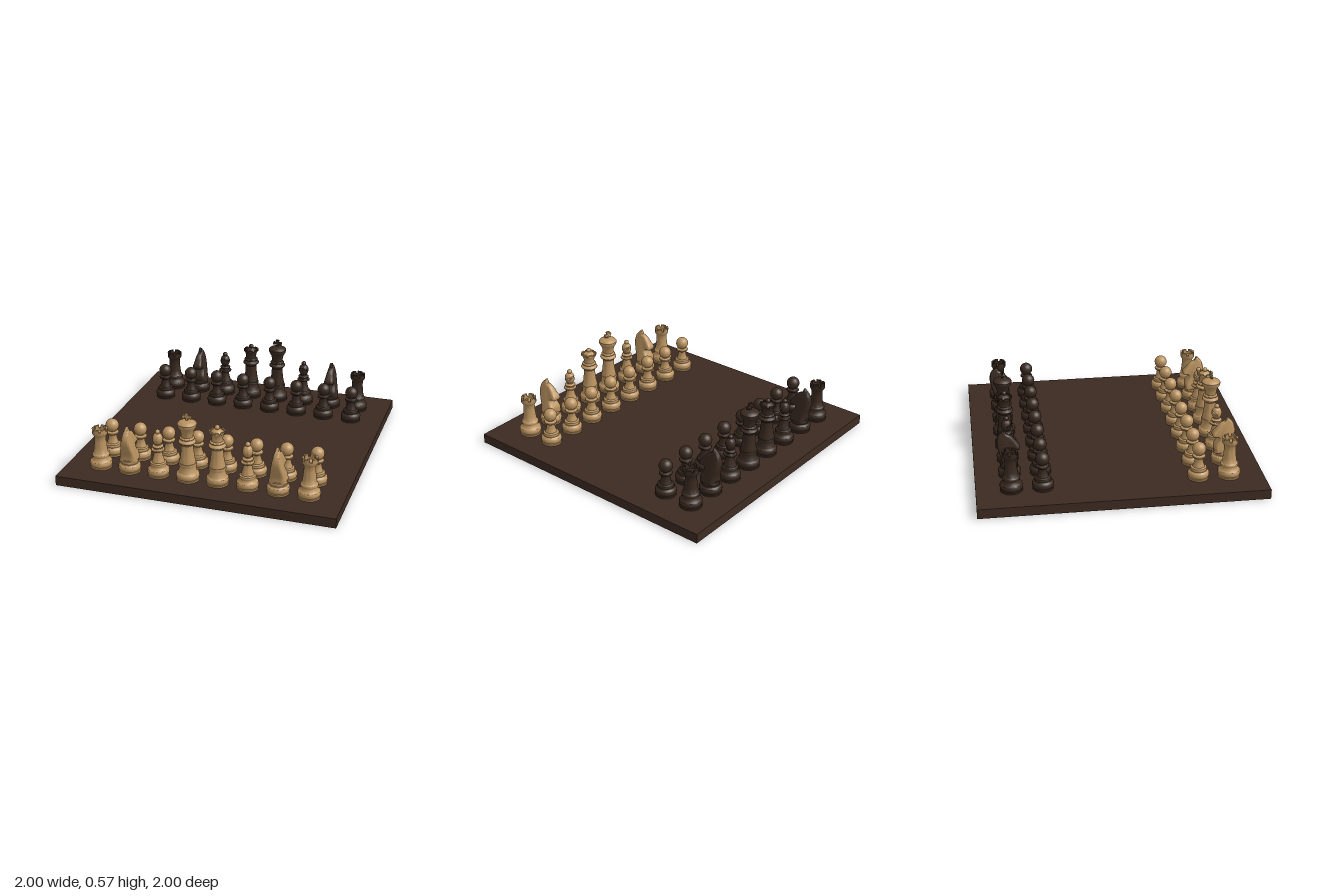
import * as THREE from 'three';
import { toCreasedNormals, mergeGeometries } from 'three/addons/utils/BufferGeometryUtils.js';

const boardMat = new THREE.MeshStandardMaterial({ color: 0x3d2b22 });
boardMat.name = 'dark board wood';
const lightMat = new THREE.MeshStandardMaterial({ color: 0xba9360 });
lightMat.name = 'light boxwood';
const darkMat = new THREE.MeshStandardMaterial({ color: 0x38291f });
darkMat.name = 'dark ebony';

const BOARD_TOP = 0.07;
const v2 = (x, y) => new THREE.Vector2(x, y);

// Half-round moulding between two heights
function bead(r, y0, y1, bulge) {
  const pts = [];
  for (let i = 0; i <= 6; i++) {
    const a = (i / 6 - 0.5) * Math.PI;
    pts.push([r + bulge * Math.cos(a), (y0 + y1) / 2 + ((y1 - y0) / 2) * Math.sin(a)]);
  }
  return pts;
}

// Round foot shared by all pieces
function foot(r, h) {
  return [
    [0, 0], [r * 0.97, 0], [r * 0.97, 0.012],
    ...bead(r * 0.87, 0.014, 0.055, r * 0.13),
    [r * 0.78, 0.064], [r * 0.7, h - 0.025],
    ...bead(r * 0.7, h - 0.022, h, 0.006),
  ];
}

function turned(points) {
  const geo = new THREE.LatheGeometry(points.map((p) => v2(Math.max(p[0], 0), p[1])), 32);
  return toCreasedNormals(geo, 0.6);
}

function ball(r, y, stretch = 1) {
  const geo = new THREE.SphereGeometry(r, 24, 16);
  geo.scale(1, stretch, 1);
  geo.translate(0, y, 0);
  return geo.toNonIndexed();
}

// Ring of raised blocks around a rim
function battlements(count, outer, inner, y, height, fill) {
  const parts = [];
  for (let i = 0; i < count; i++) {
    const a = (i / count) * Math.PI * 2;
    const b = a + (fill / count) * Math.PI * 2;
    const shape = new THREE.Shape();
    shape.absarc(0, 0, outer, a, b, false);
    shape.absarc(0, 0, inner, b, a, true);
    const geo = new THREE.ExtrudeGeometry(shape, { depth: height, bevelEnabled: false, curveSegments: 6 });
    geo.rotateX(-Math.PI / 2);
    geo.translate(0, y, 0);
    parts.push(toCreasedNormals(geo, 0.6));
  }
  return mergeGeometries(parts);
}

// Horse head: side outline extruded, then narrowed towards the ears
function horseHead() {
  const back = new THREE.SplineCurve([
    v2(-0.05, 0.08), v2(-0.052, 0.13), v2(-0.07, 0.19), v2(-0.08, 0.25), v2(-0.066, 0.305), v2(-0.025, 0.348),
  ]);
  const face = new THREE.SplineCurve([
    v2(-0.012, 0.315), v2(0.025, 0.295), v2(0.055, 0.255), v2(0.077, 0.225), v2(0.072, 0.2),
    v2(0.045, 0.2), v2(0.03, 0.19), v2(0.04, 0.165), v2(0.06, 0.13), v2(0.055, 0.08),
  ]);
  const shape = new THREE.Shape([...back.getPoints(18), ...face.getPoints(27)]);
  const geo = new THREE.ExtrudeGeometry(shape, {
    depth: 1, bevelEnabled: true, bevelThickness: 0.5, bevelSize: 0.014, bevelOffset: -0.014, bevelSegments: 5,
  });
  geo.translate(0, 0, -0.5);
  const pos = geo.attributes.position;
  for (let i = 0; i < pos.count; i++) {
    const t = THREE.MathUtils.clamp((pos.getY(i) - 0.08) / 0.268, 0, 1);
    pos.setZ(i, pos.getZ(i) * THREE.MathUtils.lerp(0.062, 0.012, t));
  }
  geo.rotateY(Math.PI / 2);
  return toCreasedNormals(geo, 0.7);
}

// Bishop's mitre with a slanted cut
function mitre() {
  const geo = new THREE.SphereGeometry(0.037, 32, 28);
  geo.scale(1, 1.25, 1);
  const pos = geo.attributes.position;
  for (let i = 0; i < pos.count; i++) {
    const [x, y, z] = [pos.getX(i), pos.getY(i), pos.getZ(i)];
    if (z < -0.005 && Math.abs(y + z * 0.8 + 0.012) < 0.004) pos.setXYZ(i, x * 0.75, y, z * 0.75);
  }
  geo.translate(0, 0.275, 0);
  return toCreasedNormals(geo, 0.6);
}

function kingCross() {
  const half = [[0.009, 0], [0.007, 0.02], [0.03, 0.014], [0.036, 0.026], [0.03, 0.04], [0.009, 0.036], [0.015, 0.055]];
  const pts = [...half.map((p) => v2(p[0], p[1])), ...half.slice().reverse().map((p) => v2(-p[0], p[1]))];
  const geo = new THREE.ExtrudeGeometry(new THREE.Shape(pts), { depth: 0.014, bevelEnabled: false });
  geo.translate(0, 0.443, -0.007);
  return geo;
}

// Each piece is a list of [part name, geometry], standing on y = 0
function makePieces() {
  const pawn = [
    ['pawnBody', turned([
      ...foot(0.075, 0.085), [0.042, 0.09], [0.033, 0.115], [0.028, 0.15],
      ...bead(0.03, 0.155, 0.177, 0.017), [0.026, 0.18], [0.026, 0.2],
    ])],
    ['pawnHead', ball(0.048, 0.222)],
  ];
  const rook = [
    ['rookBody', turned([
      ...foot(0.08, 0.105), [0.052, 0.11], [0.046, 0.15], [0.041, 0.2], [0.041, 0.235],
      [0.05, 0.25], [0.055, 0.258], [0.055, 0.277], [0.039, 0.277], [0.039, 0.262], [0, 0.262],
    ])],
    ['rookBattlements', battlements(6, 0.055, 0.039, 0.276, 0.02, 0.72)],
  ];
  const knight = [
    ['knightBase', turned([...foot(0.08, 0.09), [0.055, 0.095], [0, 0.095]])],
    ['knightHead', horseHead()],
  ];
  const bishop = [
    ['bishopBody', turned([
      ...foot(0.078, 0.1), [0.046, 0.105], [0.036, 0.135], [0.029, 0.17], [0.029, 0.182],
      ...bead(0.033, 0.185, 0.203, 0.016), [0.03, 0.207],
      ...bead(0.03, 0.213, 0.228, 0.01), [0.024, 0.232], [0.024, 0.25],
    ])],
    ['bishopMitre', mitre()],
    ['bishopFinial', ball(0.018, 0.327)],
  ];
  const royalStem = (r) => [
    ...foot(r, 0.13), [0.058, 0.135], [0.05, 0.17], [0.044, 0.22], [0.043, 0.265], [0.05, 0.275],
    ...bead(0.05, 0.278, 0.3, 0.012), [0.046, 0.304], ...bead(0.045, 0.308, 0.322, 0.008), [0.041, 0.326],
  ];
  const queen = [
    ['queenBody', turned([
      ...royalStem(0.08), [0.039, 0.345], [0.045, 0.37], [0.058, 0.393], [0.046, 0.39],
      [0.038, 0.398], [0.022, 0.412], [0, 0.416],
    ])],
    ['queenCoronet', battlements(8, 0.058, 0.047, 0.385, 0.015, 0.6)],
    ['queenFinial', ball(0.018, 0.422)],
  ];
  const king = [
    ['kingBody', turned([
      ...royalStem(0.083), [0.043, 0.35], [0.05, 0.375], [0.062, 0.395], [0.068, 0.41], [0.068, 0.422],
      [0.06, 0.432], [0.04, 0.441], [0.02, 0.446], [0, 0.447],
    ])],
    ['kingCross', kingCross()],
  ];
  return { pawn, rook, knight, bishop, queen, king };
}

export function createModel() {
  const model = new THREE.Group();
  model.name = 'chessSet';

  const board = new THREE.Mesh(new THREE.BoxGeometry(2, BOARD_TOP, 2), boardMat);
  board.name = 'board';
  board.position.y = BOARD_TOP / 2;
  model.add(board);

  const pieces = makePieces();
  const backRow = ['rook', 'knight', 'bishop', 'king', 'queen', 'bishop', 'knight', 'rook'];

  // One army on the front side; the other is the same turned half round
  function army(name, material) {
    const group = new THREE.Group();
    group.name = name;
    const place = (kind, x, z) => {
      const piece = new THREE.Group();
      piece.name = kind;
      for (const [partName, geo] of pieces[kind]) {
        const mesh = new THREE.Mesh(geo, material);
        mesh.name = partName;
        piece.add(mesh);
      }
      piece.position.set(x, BOARD_TOP, z);
      group.add(piece);
    };
    backRow.forEach((kind, i) => {
      const x = (i - 3.5) * 0.216;
      place(kind, x, 0.756);
      place('pawn', x, 0.54);
    });
    return group;
  }

  const dark = army('darkArmy', darkMat);
  dark.rotation.y = Math.PI;
  model.add(army('lightArmy', lightMat), dark);
  return model;
}
